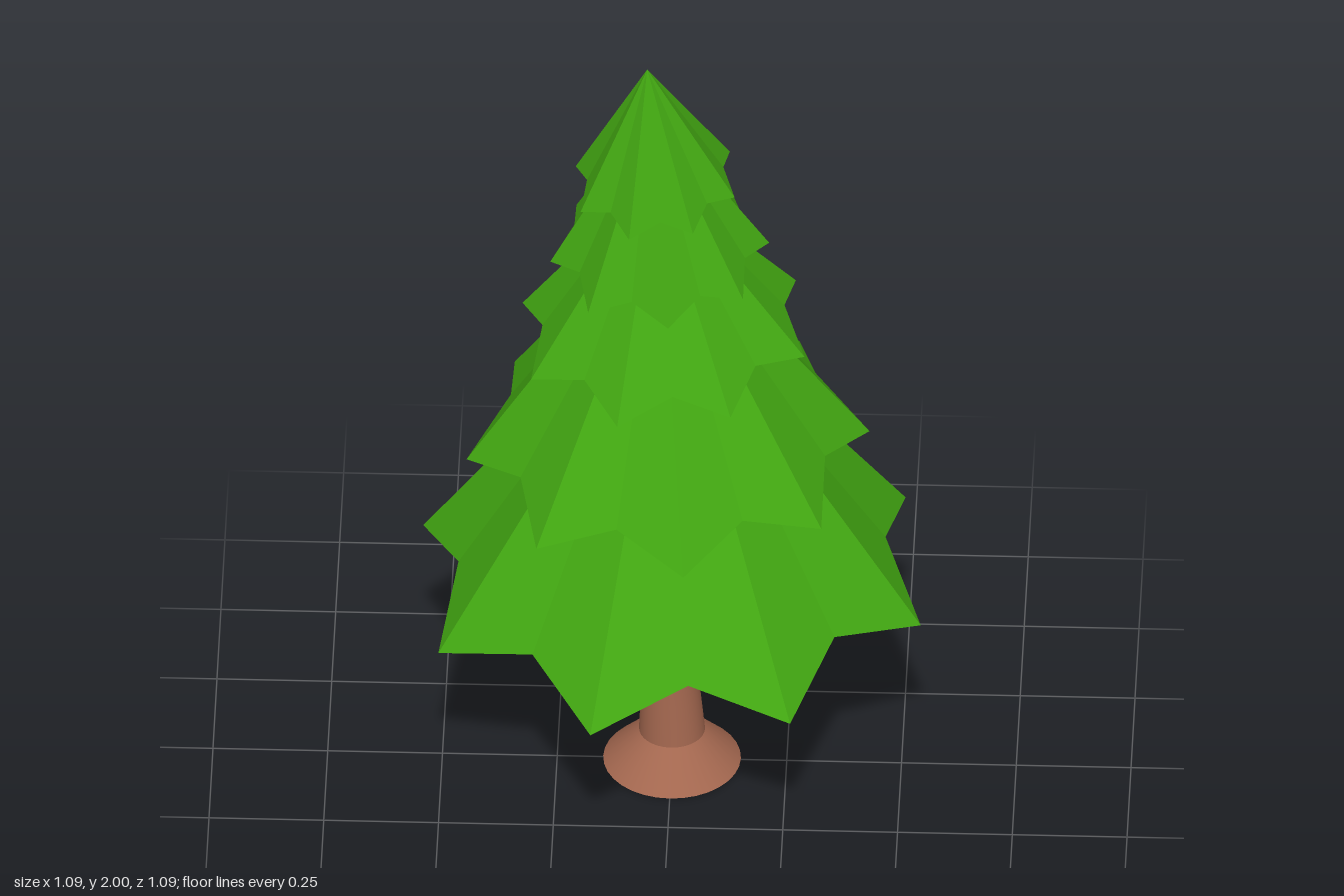
import * as THREE from 'three';

const SIDES = 8;

// One skirt of needles: an eight-pointed, slightly tilted star pyramid with a shallow hollow underside.
function tierGeometry({ c, r, h, sx, sz, phase }) {
  const [cx, cy, cz] = c;
  const rim = [];
  for (let i = 0; i < SIDES * 2; i++) {
    const a = THREE.MathUtils.degToRad(phase) + (i * Math.PI) / SIDES;
    const tip = i % 2 === 0;
    const rad = tip ? r : r * 0.818;
    const x = Math.cos(a) * rad, z = Math.sin(a) * rad;
    rim.push([cx + x, cy + sx * x - sz * z + (tip ? 0 : r * 0.125), cz + z]);
  }
  // the axis leans with the tilt of the rim
  const onAxis = (d) => [cx - sx * d, cy + d, cz + sz * d];
  const apex = onAxis(h), hollow = onAxis(r * 0.175);
  const pos = [];
  rim.forEach((p, i) => {
    const q = rim[(i + 1) % rim.length];
    pos.push(...apex, ...q, ...p);
    pos.push(...hollow, ...p, ...q);
  });
  const g = new THREE.BufferGeometry();
  g.setAttribute('position', new THREE.Float32BufferAttribute(pos, 3));
  g.computeVertexNormals();
  return g;
}

export function createModel() {
  const tree = new THREE.Group();
  tree.name = 'pineTree';

  const green = new THREE.MeshStandardMaterial({ color: 0x43a912, flatShading: true });
  green.name = 'needleGreen';
  const brown = new THREE.MeshStandardMaterial({ color: 0xa3674f, side: THREE.DoubleSide });
  brown.name = 'barkBrown';

  // Root flare, open underneath
  const flare = new THREE.Mesh(new THREE.CylinderGeometry(0.072, 0.15, 0.08, 32, 1, true), brown);
  flare.name = 'rootFlare';
  flare.position.set(0, 0.04, -0.004);
  tree.add(flare);

  // Trunk: waisted and leaning slightly
  const profile = [[0.072, 0.08], [0.065, 0.18], [0.055, 0.3], [0.052, 0.42], [0.056, 0.55], [0.06, 0.65]];
  const trunkGeo = new THREE.LatheGeometry(profile.map(([x, y]) => new THREE.Vector2(x, y)), 32);
  const p = trunkGeo.attributes.position;
  for (let i = 0; i < p.count; i++) {
    const t = THREE.MathUtils.smoothstep(p.getY(i), 0.08, 0.35);
    p.setX(i, p.getX(i) - 0.009 * t);
    p.setZ(i, p.getZ(i) - 0.004 * (1 - t));
  }
  trunkGeo.computeVertexNormals();
  const trunk = new THREE.Mesh(trunkGeo, brown);
  trunk.name = 'trunk';
  tree.add(trunk);

  // Foliage tiers, bottom to top: rim centre, tip radius, height, tilt in x and z
  const tiers = [
    { c: [0, 0.5, 0], r: 0.57, h: 0.83, sx: 0.01, sz: 0.045 },
    { c: [-0.008, 0.869, 0.018], r: 0.44, h: 0.65, sx: 0.023, sz: 0.068 },
    { c: [-0.017, 1.205, 0.045], r: 0.323, h: 0.45, sx: 0.036, sz: 0.094 },
    { c: [-0.024, 1.443, 0.079], r: 0.239, h: 0.43, sx: 0.038, sz: 0.121 },
    { c: [-0.033, 1.655, 0.105], r: 0.182, h: 0.345, sx: 0.045, sz: 0.145 },
  ];
  tiers.forEach((tier, i) => {
    const mesh = new THREE.Mesh(tierGeometry({ ...tier, phase: 16.2 - 22.5 * i }), green);
    mesh.name = `foliageTier${i + 1}`;
    tree.add(mesh);
  });

  return tree;
}
